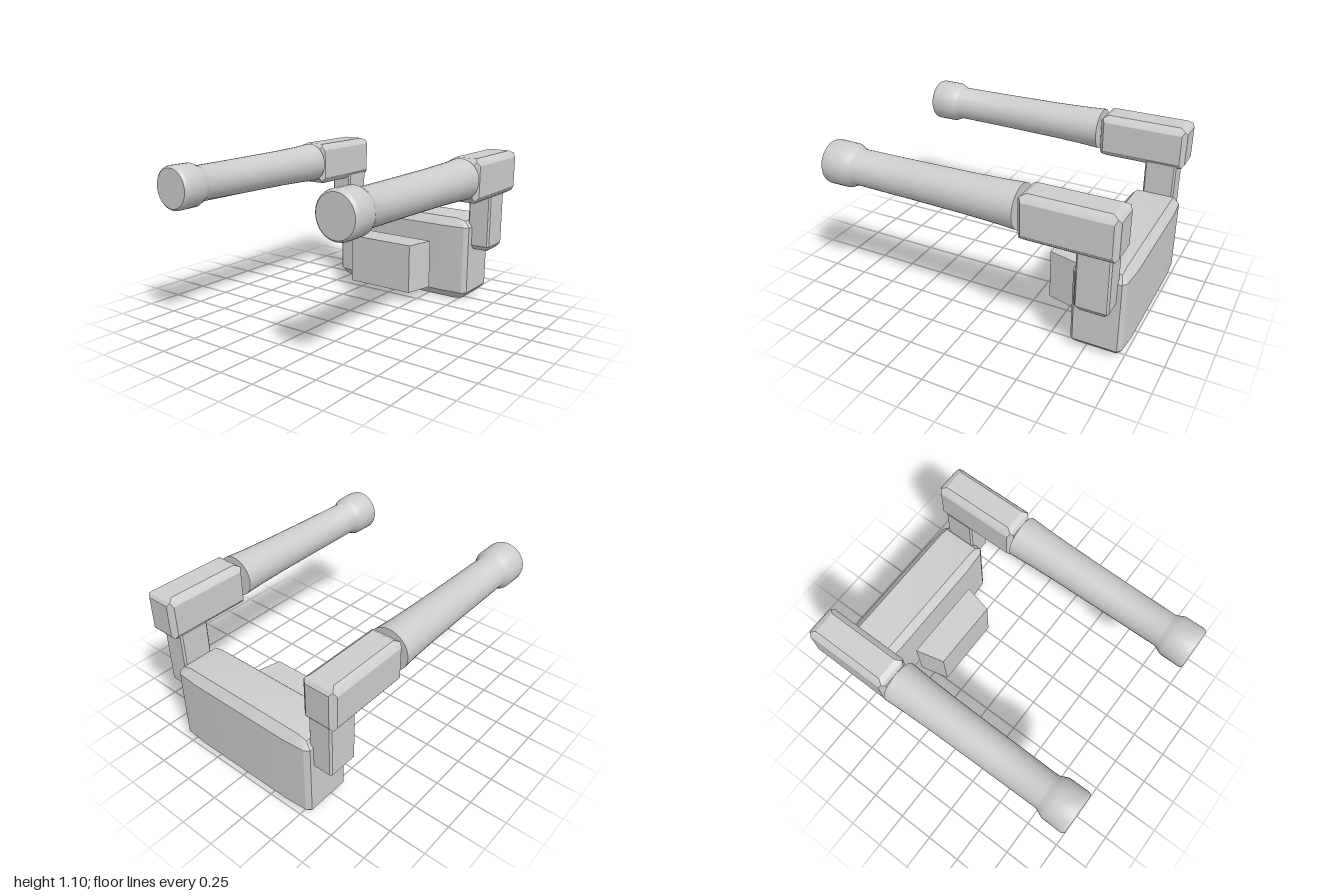
import * as THREE from 'three';
import { toCreasedNormals } from 'three/addons/utils/BufferGeometryUtils.js';
import { ConvexGeometry } from 'three/addons/geometries/ConvexGeometry.js';

// Box with softened edges: each face is inset by its own pair of margins.
// min/max are corners; front, top, side are the insets of those face pairs.
function softBox(min, max, { front, top, side, corner, bulge = 0, bulgeInset = 0 }) {
  const c = min.map((v, i) => (v + max[i]) / 2);
  const [w, h, d] = min.map((v, i) => (max[i] - v) / 2);
  const base = [
    [w - front[0], h - front[1], d - bulge],
    [w - top[0], h, d - top[1]],
    [w, h - side[0], d - side[1]],
    [w - corner[0], h - corner[1], d - corner[2]],
  ];
  if (bulge) base.push([w - bulgeInset, h - front[1], d]);
  const points = [];
  for (const sx of [-1, 1]) for (const sy of [-1, 1]) for (const sz of [-1, 1]) {
    for (const [x, y, z] of base) {
      points.push(new THREE.Vector3(c[0] + sx * x, c[1] + sy * y, c[2] + sz * z));
    }
  }
  return toCreasedNormals(new ConvexGeometry(points), 0.45);
}

export function createModel() {
  const model = new THREE.Group();
  const grey = new THREE.MeshStandardMaterial({ color: 0xcccccc });
  grey.name = 'light grey';

  const add = (parent, name, geometry) => {
    const mesh = new THREE.Mesh(geometry, grey);
    mesh.name = name;
    parent.add(mesh);
    return mesh;
  };

  // Main body block
  add(model, 'body', softBox([-0.57, 0, -1], [0.57, 0.612, -0.635], {
    front: [0.032, 0.058], top: [0.11, 0.05], side: [0.06, 0.035],
    corner: [0.04, 0.015, 0.05], bulge: 0.012, bulgeInset: 0.19,
  }));

  // Tapered block floating in front of the body
  const outline = new THREE.Shape([
    new THREE.Vector2(-0.305, 0.58), new THREE.Vector2(0.305, 0.58),
    new THREE.Vector2(0.255, 0.372), new THREE.Vector2(-0.255, 0.372),
  ]);
  const block = new THREE.ExtrudeGeometry(outline, { depth: 0.355, bevelEnabled: false });
  block.rotateX(-Math.PI / 2).translate(0, 0.08, 0);
  add(model, 'frontBlock', block);

  // Barrel profile: radius, z
  const profile = [
    [0, -0.358], [0.142, -0.358], [0.134, -0.22], [0.127, 0], [0.122, 0.35],
    [0.118, 0.78], [0.126, 0.8], [0.144, 0.84], [0.145, 0.975], [0.141, 0.99],
    [0.13, 1], [0, 1],
  ].map(([r, z]) => new THREE.Vector2(r, z));

  for (const [side, s] of [['left', 1], ['right', -1]]) {
    const arm = new THREE.Group();
    arm.name = side + 'Arm';
    model.add(arm);
    const span = (x0, x1) => (s > 0 ? [x0, x1] : [-x1, -x0]);

    // Upright post beside the body
    const [p0, p1] = span(0.535, 0.702);
    add(arm, side + 'Post', softBox([p0, 0.382, -0.937], [p1, 0.86, -0.72], {
      front: [0.012, 0.035], top: [0.025, 0.03], side: [0.035, 0.012],
      corner: [0.014, 0.02, 0.016],
    }));

    // Horizontal shoulder block
    const [b0, b1] = span(0.532, 0.767);
    add(arm, side + 'Shoulder', softBox([b0, 0.795, -0.985], [b1, 1.097, -0.373], {
      front: [0.035, 0.04], top: [0.042, 0.05], side: [0.045, 0.03],
      corner: [0.018, 0.018, 0.016],
    }));

    // Long barrel pointing forward
    const barrel = new THREE.LatheGeometry(profile, 32).rotateX(Math.PI / 2);
    barrel.translate(s * 0.643, 0.959, 0);
    add(arm, side + 'Barrel', toCreasedNormals(barrel, 0.6));
  }
  return model;
}
